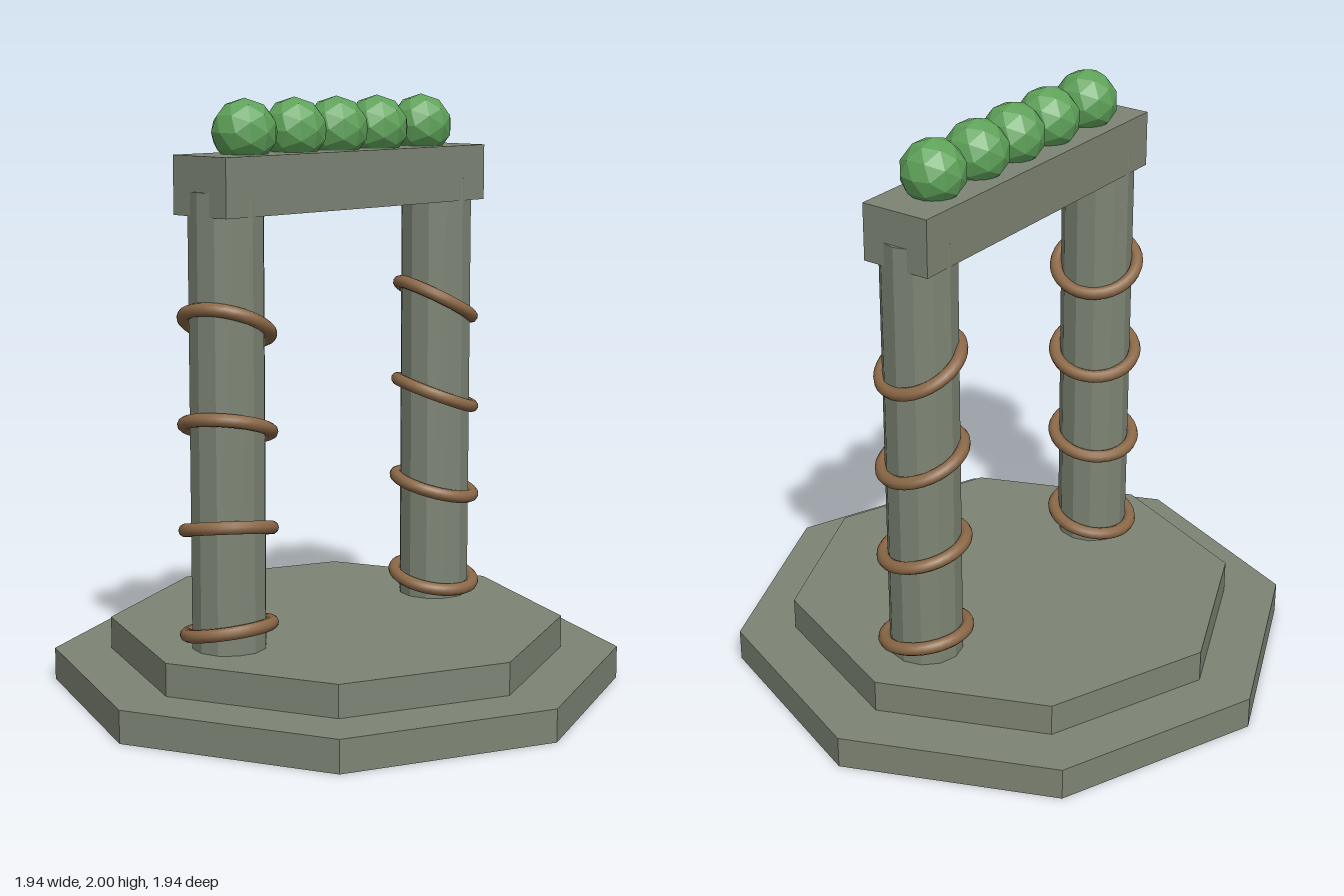
import * as THREE from 'three';

export function createModel() {
  const model = new THREE.Group();
  model.name = 'stoneGateway';

  const stone = new THREE.MeshStandardMaterial({ color: 0x7d8474, flatShading: true });
  stone.name = 'stone';
  const vine = new THREE.MeshStandardMaterial({ color: 0x8b6847 });
  vine.name = 'vineBrown';
  const leaf = new THREE.MeshStandardMaterial({ color: 0x5fa25a, flatShading: true });
  leaf.name = 'leafGreen';

  const add = (name, geometry, material, x, y, z, parent = model) => {
    const mesh = new THREE.Mesh(geometry, material);
    mesh.name = name;
    mesh.position.set(x, y, z);
    parent.add(mesh);
    return mesh;
  };

  // Two octagonal steps
  add('lowerStep', new THREE.CylinderGeometry(0.972, 0.972, 0.11, 8), stone, 0, 0.055, 0);
  add('upperStep', new THREE.CylinderGeometry(0.777, 0.777, 0.11, 8), stone, 0, 0.165, 0);

  // Columns, each wrapped by four rings that lean further the higher they sit
  const columnShape = new THREE.CylinderGeometry(0.124, 0.124, 1.49, 12);
  const ringShape = new THREE.TorusGeometry(0.142, 0.022, 10, 32);
  for (const side of [-1, 1]) {
    const group = new THREE.Group();
    group.name = side > 0 ? 'leftColumn' : 'rightColumn';
    group.position.x = side * 0.5;
    model.add(group);
    add('columnShaft', columnShape, stone, 0, 0.965, 0, group);
    for (let i = 0; i < 4; i++) {
      const ring = add('vineRing', ringShape, vine, 0, 0.28 + i * 0.333, 0, group);
      ring.rotation.set(Math.PI / 2 + side * 0.2, -0.15 * i, 0);
    }
  }

  // Lintel across the columns
  add('lintel', new THREE.BoxGeometry(1.224, 0.19, 0.246), stone, 0, 1.728, 0);

  // Row of faceted leaf clumps on the lintel
  const clumpShape = new THREE.IcosahedronGeometry(0.108, 1);
  for (const x of [-0.417, -0.195, 0, 0.195, 0.417]) {
    add('leafClump', clumpShape, leaf, x, 1.892, 0);
  }

  return model;
}
